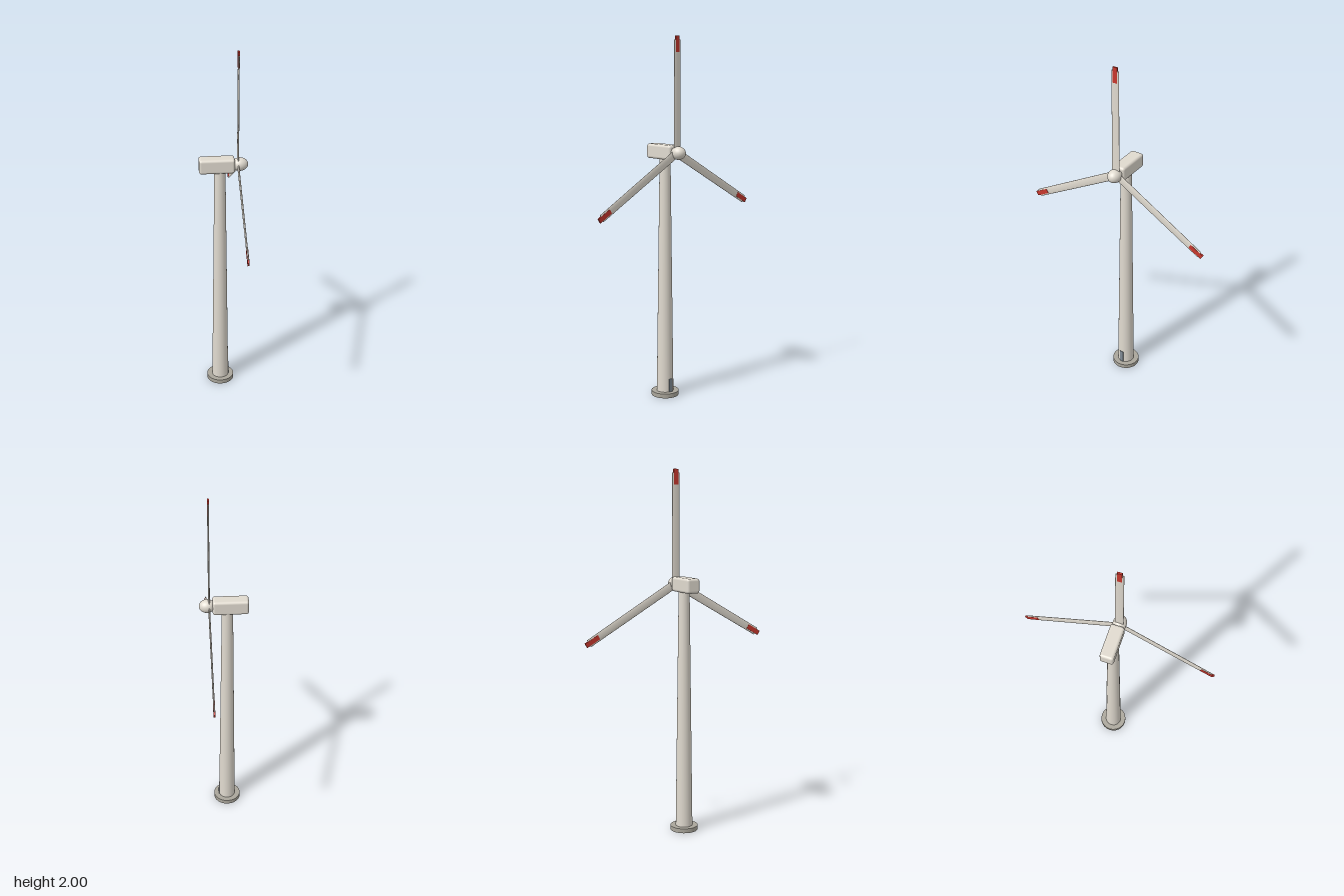
import * as THREE from 'three';
import { RoundedBoxGeometry } from 'three/addons/geometries/RoundedBoxGeometry.js';

const material = (name, color) => {
  const m = new THREE.MeshStandardMaterial({ color });
  m.name = name;
  return m;
};

export function createModel() {
  const shell = material('warm white', 0xe0dacf);
  const concrete = material('concrete grey', 0xaaa69b);
  const red = material('tip red', 0xc8372d);
  const steel = material('door grey blue', 0x7f8a94);

  const model = new THREE.Group();
  model.name = 'windTurbine';
  const add = (parent, name, geometry, mat, x = 0, y = 0, z = 0) => {
    const mesh = new THREE.Mesh(geometry, mat);
    mesh.name = name;
    mesh.position.set(x, y, z);
    parent.add(mesh);
    return mesh;
  };

  const towerX = -0.02, hubX = 0.077, hubY = 1.38;

  // Foundation and tapered tower
  add(model, 'foundation', new THREE.CylinderGeometry(0.077, 0.077, 0.025, 24), concrete, towerX, 0.0125);
  add(model, 'tower', new THREE.CylinderGeometry(0.03, 0.047, 1.325, 24), shell, towerX, 0.6875);

  // Door, leaning with the tower wall
  const door = add(model, 'door', new THREE.BoxGeometry(0.008, 0.075, 0.024), steel, towerX + 0.045, 0.0625);
  door.rotation.z = Math.atan(0.017 / 1.325);

  // Nacelle and nose cone
  add(model, 'nacelle', new RoundedBoxGeometry(0.192, 0.08, 0.076, 4, 0.014), shell, -0.037, hubY);
  const hub = add(model, 'hub', new THREE.SphereGeometry(1, 24, 16), shell, 0.087, hubY);
  hub.scale.set(0.044, 0.036, 0.037);

  // Three flat oval blades with red tips
  const rotor = new THREE.Group();
  rotor.name = 'rotor';
  rotor.position.set(hubX, hubY, 0);
  model.add(rotor);
  const bladeGeometry = new THREE.CylinderGeometry(0.022, 0.024, 0.6, 20).scale(0.2, 1, 1).translate(0, 0.3, 0);
  const tipGeometry = new THREE.BoxGeometry(0.0094, 0.085, 0.026).translate(0, 0.5775, 0);
  for (let i = 0; i < 3; i++) {
    const blade = new THREE.Group();
    blade.name = `blade${i + 1}`;
    blade.rotation.x = (i * Math.PI * 2) / 3;
    add(blade, 'bladeBody', bladeGeometry, shell);
    add(blade, 'bladeTip', tipGeometry, red);
    rotor.add(blade);
  }
  return model;
}
